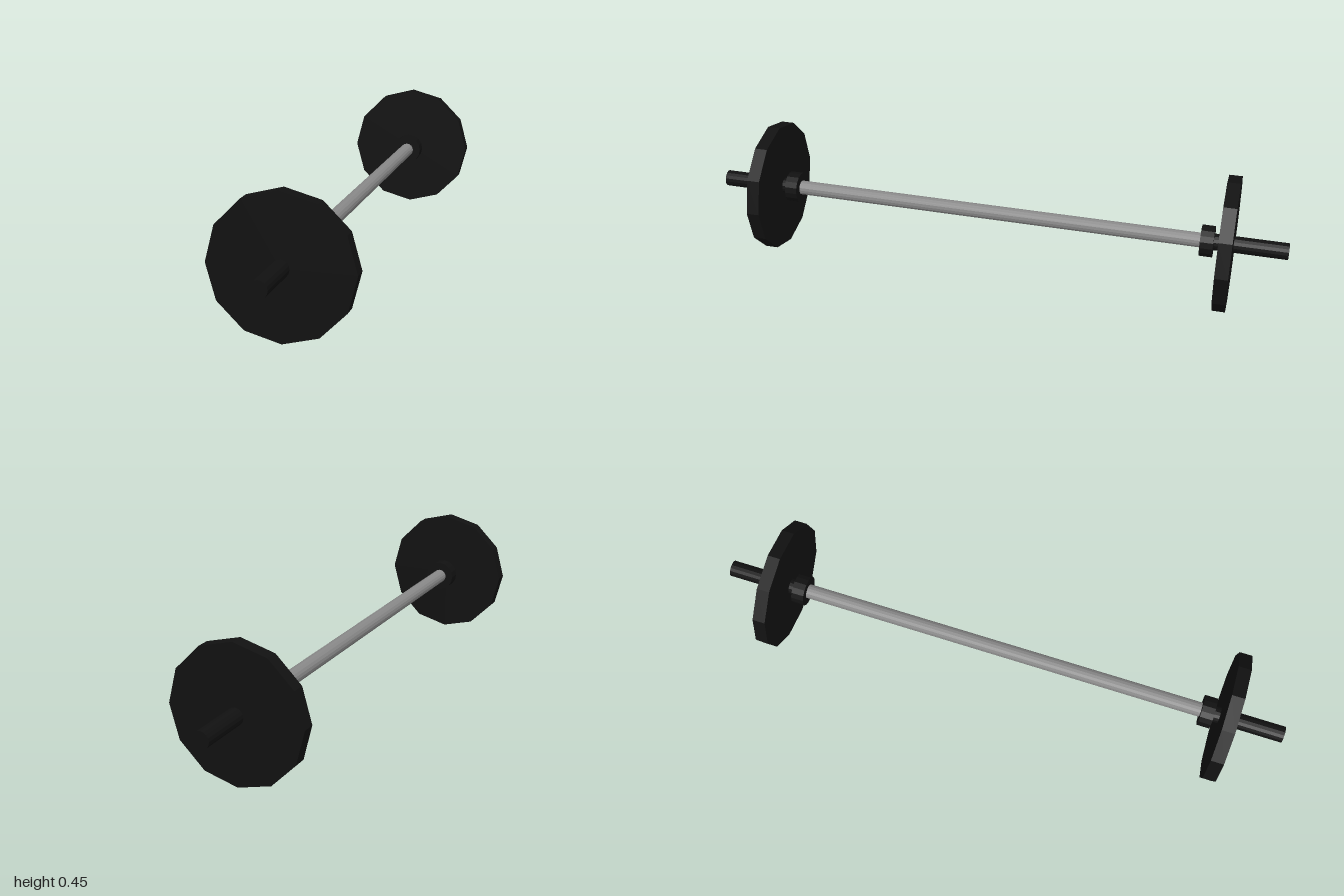
import * as THREE from 'three';

const AXIS_Y = 0.227; // bar height, equal to the plate radius

export function createModel() {
  const model = new THREE.Group();
  model.name = 'barbell';
  const steel = new THREE.MeshStandardMaterial({ color: 0x888888, flatShading: true });
  const black = new THREE.MeshStandardMaterial({ color: 0x111111, flatShading: true });

  // A cylinder along z, from z0 to z1
  const rod = (name, radius, z0, z1, sides, material) => {
    const geometry = new THREE.CylinderGeometry(radius, radius, Math.abs(z1 - z0), sides);
    geometry.rotateX(Math.PI / 2);
    const mesh = new THREE.Mesh(geometry, material);
    mesh.name = name;
    mesh.position.set(0, AXIS_Y, (z0 + z1) / 2);
    model.add(mesh);
  };

  // Grip between the collars
  rod('grip', 0.025, -0.72, 0.72, 16, steel);

  // Collar, sleeve and weight plate at each end
  for (const [end, s] of [['front', 1], ['back', -1]]) {
    rod(end + 'Collar', 0.053, s * 0.713, s * 0.757, 16, black);
    rod(end + 'Sleeve', 0.028, s * 0.75, s, 16, black);
    rod(end + 'Plate', AXIS_Y, s * 0.778, s * 0.822, 12, black);
  }
  return model;
}
